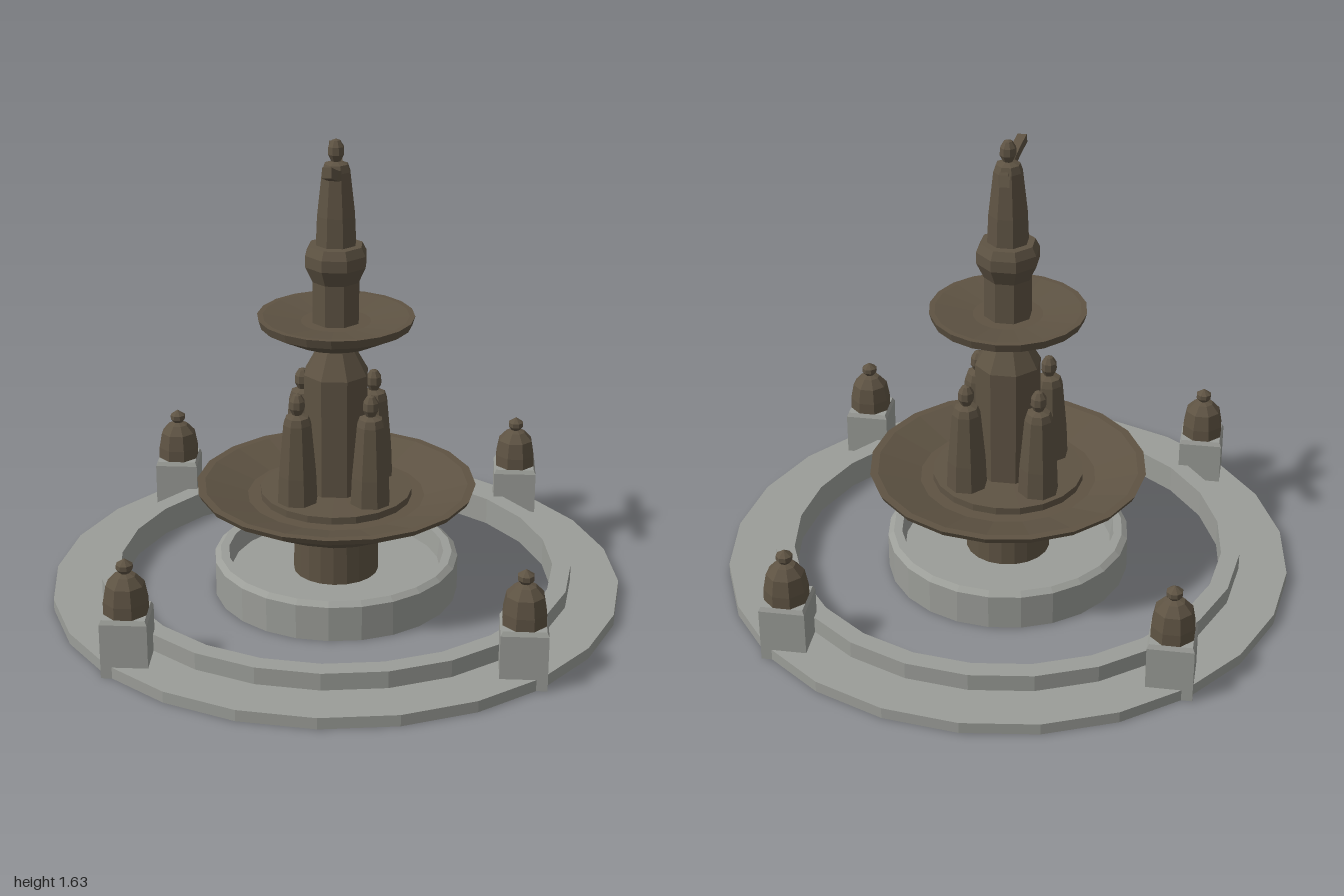
import * as THREE from 'three';

const stone = new THREE.MeshStandardMaterial({ color: 0x9b9d98, side: THREE.DoubleSide });
const bronze = new THREE.MeshStandardMaterial({ color: 0x5e5343, side: THREE.DoubleSide });
stone.name = 'stone';
bronze.name = 'bronze';

// Faceted mesh with hard edges
function faceted(name, geometry, material) {
  const g = geometry.toNonIndexed();
  g.computeVertexNormals();
  const mesh = new THREE.Mesh(g, material);
  mesh.name = name;
  return mesh;
}

// Turned part: profile is [radius, y] pairs running bottom, outside, top
function turned(name, profile, sides, material) {
  const points = profile.map(([r, y]) => new THREE.Vector2(r, y));
  return faceted(name, new THREE.LatheGeometry(points, sides), material);
}

// Turned part with flat sides facing the axes; radii are measured to the flats
function flatSided(name, profile, sides, material) {
  const k = 1 / Math.cos(Math.PI / sides);
  const mesh = turned(name, profile.map(([r, y]) => [r * k, y]), sides, material);
  mesh.rotation.y = Math.PI / sides;
  return mesh;
}

// Robed figure standing at y = 0
function makeFigure(name, s) {
  const figure = new THREE.Group();
  figure.name = name;
  figure.add(flatSided('robe', [[0, 0], [0.066, 0], [0.062, 0.1], [0.046, s - 0.11],
    [0.038, s - 0.085], [0.014, s - 0.076], [0, s - 0.076]], 8, bronze));
  figure.add(flatSided('head', [[0, s - 0.08], [0.015, s - 0.076], [0.026, s - 0.053],
    [0.025, s - 0.027], [0.013, s - 0.006], [0, s - 0.001]], 8, bronze));
  return figure;
}

export function createModel() {
  const model = new THREE.Group();
  model.name = 'fountain';

  // Stepped outer kerb, hollow underneath
  model.add(turned('outerKerb', [[1, 0], [1, 0.04], [0.83, 0.04],
    [0.83, 0.1], [0.765, 0.1], [0.765, 0]], 24, stone));

  // Central basin with a raised floor, open around the stem
  model.add(turned('basin', [[0.43, 0], [0.43, 0.125], [0.41, 0.14],
    [0.38, 0.14], [0.37, 0.07], [0.148, 0.07]], 24, stone));

  // Lower bowl on its hollow stem
  model.add(turned('lowerBowl', [[0.15, 0.06], [0.147, 0.21], [0.27, 0.27], [0.478, 0.38],
    [0.488, 0.4], [0.46, 0.4], [0.31, 0.355], [0, 0.355]], 20, bronze));
  model.add(turned('platform', [[0.265, 0.35], [0.265, 0.38], [0, 0.385]], 20, bronze));

  // Column and upper bowl
  model.add(flatSided('column', [[0.105, 0.38], [0.107, 0.81], [0.06, 0.9], [0.06, 0.94]], 8, bronze));
  model.add(turned('upperBowl', [[0, 0.905], [0.06, 0.905], [0.15, 0.93], [0.26, 0.985],
    [0.269, 1.015], [0.25, 1.015], [0.12, 0.995], [0, 0.995]], 20, bronze));
  model.add(flatSided('upperColumn', [[0.077, 0.99], [0.077, 1.14], [0.101, 1.195],
    [0.101, 1.235], [0.087, 1.265], [0, 1.267]], 8, bronze));

  // Four figures around the column
  for (const x of [-0.125, 0.125]) {
    for (const z of [-0.125, 0.125]) {
      const figure = makeFigure('standingFigure', 0.395);
      figure.position.set(x, 0.38, z);
      model.add(figure);
    }
  }

  // Crowning figure
  const crown = makeFigure('crowningFigure', 0.36);
  crown.position.y = 1.268;
  model.add(crown);

  // Both raised arms: a bar swept up and back towards its ends
  const arms = new THREE.BoxGeometry(0.031, 0.033, 0.37, 1, 1, 8);
  const p = arms.attributes.position;
  for (let i = 0; i < p.count; i++) {
    const t = Math.abs(p.getZ(i)) / 0.185;
    const lean = p.getY(i) * -0.4 * t * Math.sign(p.getZ(i));
    p.setXYZ(i, p.getX(i) + 0.007 - 0.026 * t * t,
      p.getY(i) + 1.506 + 0.053 * t ** 1.5, p.getZ(i) + lean);
  }
  model.add(faceted('raisedArms', arms, bronze));

  // Corner pedestals, hollow underneath, with urns
  for (const x of [-0.645, 0.645]) {
    for (const z of [-0.645, 0.645]) {
      const corner = new THREE.Group();
      corner.name = 'cornerPedestal';
      corner.add(flatSided('pedestalBlock', [[0.078, 0], [0.078, 0.193],
        [0.071, 0.208], [0, 0.208]], 4, stone));
      corner.add(flatSided('urn', [[0.071, 0.205], [0.07, 0.25], [0.06, 0.307],
        [0.034, 0.338], [0.015, 0.346], [0.026, 0.36], [0.026, 0.376], [0, 0.396]], 8, bronze));
      corner.position.set(x, 0, z);
      model.add(corner);
    }
  }
  return model;
}
